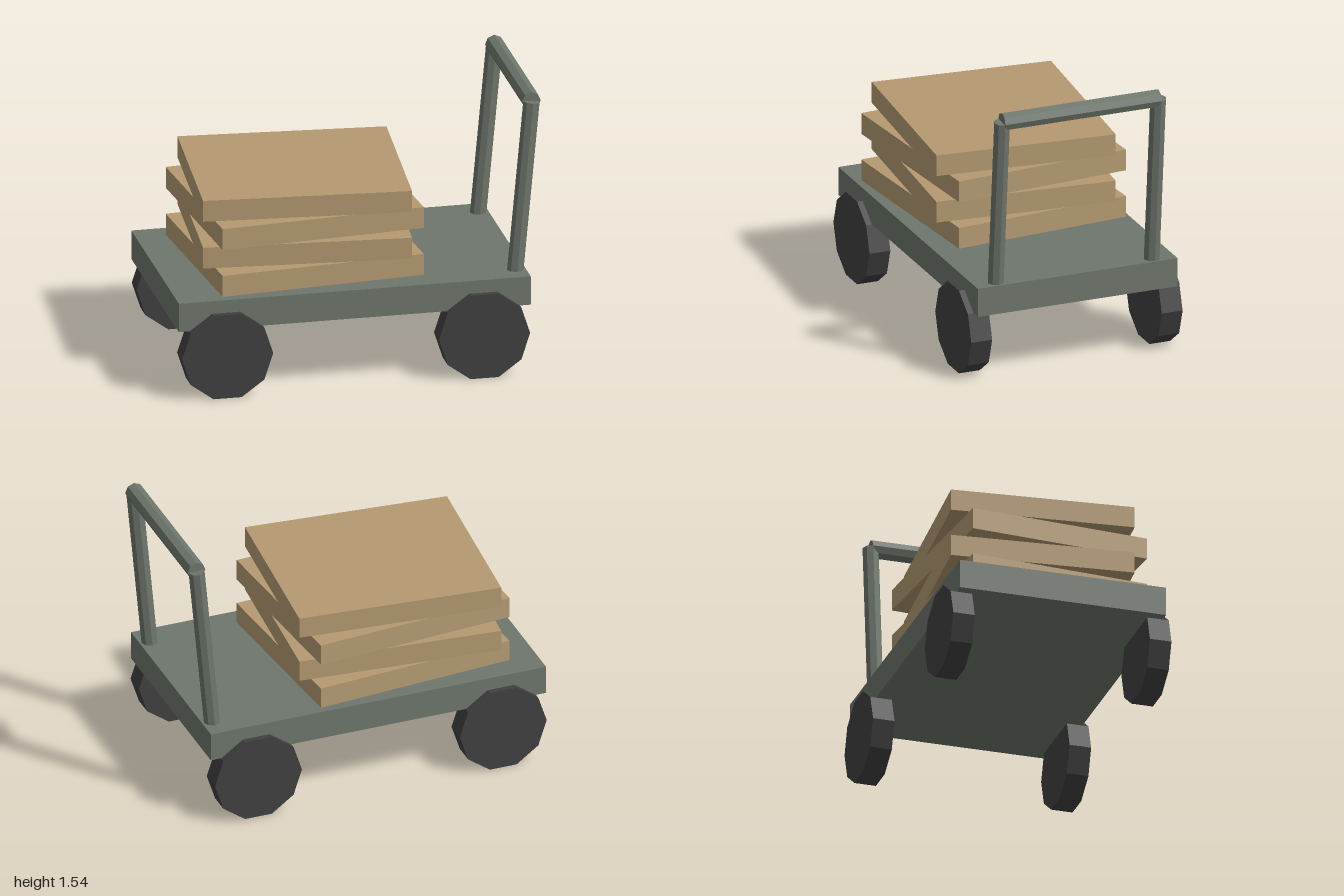
import * as THREE from 'three';

const flat = (name, color) => {
  const m = new THREE.MeshStandardMaterial({ color, flatShading: true });
  m.name = name;
  return m;
};

export function createModel() {
  const metal = flat('grey green metal', 0x6e766c);
  const wood = flat('tan wood', 0xb49a72);
  const rubber = flat('dark rubber', 0x404041);

  const cart = new THREE.Group();
  cart.name = 'platformCart';
  const add = (name, geometry, material, x, y, z) => {
    const mesh = new THREE.Mesh(geometry, material);
    mesh.name = name;
    mesh.position.set(x, y, z);
    cart.add(mesh);
    return mesh;
  };

  // Deck
  add('deck', new THREE.BoxGeometry(1.915, 0.16, 1.15), metal, -0.0425, 0.465, 0);

  // Ten-sided wheels, flat side down
  const wheel = new THREE.CylinderGeometry(0.248, 0.248, 0.12, 10);
  wheel.rotateY(Math.PI / 10).rotateX(Math.PI / 2);
  for (const x of [-0.742, 0.656])
    for (const side of [1, -1])
      add(`${x < 0 ? 'rear' : 'handle'}Wheel${side > 0 ? 'Front' : 'Back'}`, wheel, rubber, x, 0.238, side * 0.548);

  // Stack of boards, twisted alternately
  const board = new THREE.BoxGeometry(1.12, 0.118, 1.0);
  for (let i = 0; i < 4; i++)
    add(`board${i + 1}`, board, wood, -0.24, 0.613 + i * 0.1325, 0).rotation.y = i % 2 ? -0.085 : 0.085;

  // Leaning handle posts
  const foot = new THREE.Vector2(0.858, 0.53), head = new THREE.Vector2(0.947, 1.489);
  const lean = head.clone().sub(foot);
  const post = new THREE.CylinderGeometry(0.045, 0.045, lean.length(), 8);
  for (const side of [1, -1]) {
    const mesh = add(side > 0 ? 'postFront' : 'postBack', post, metal,
      (foot.x + head.x) / 2, (foot.y + head.y) / 2, side * 0.449);
    mesh.rotation.z = -Math.atan2(lean.x, lean.y);
  }

  // Handle bar across the posts
  const bar = new THREE.CylinderGeometry(0.05, 0.05, 0.9, 8).rotateX(Math.PI / 2);
  add('handleBar', bar, metal, 0.947, 1.49, 0);

  return cart;
}
